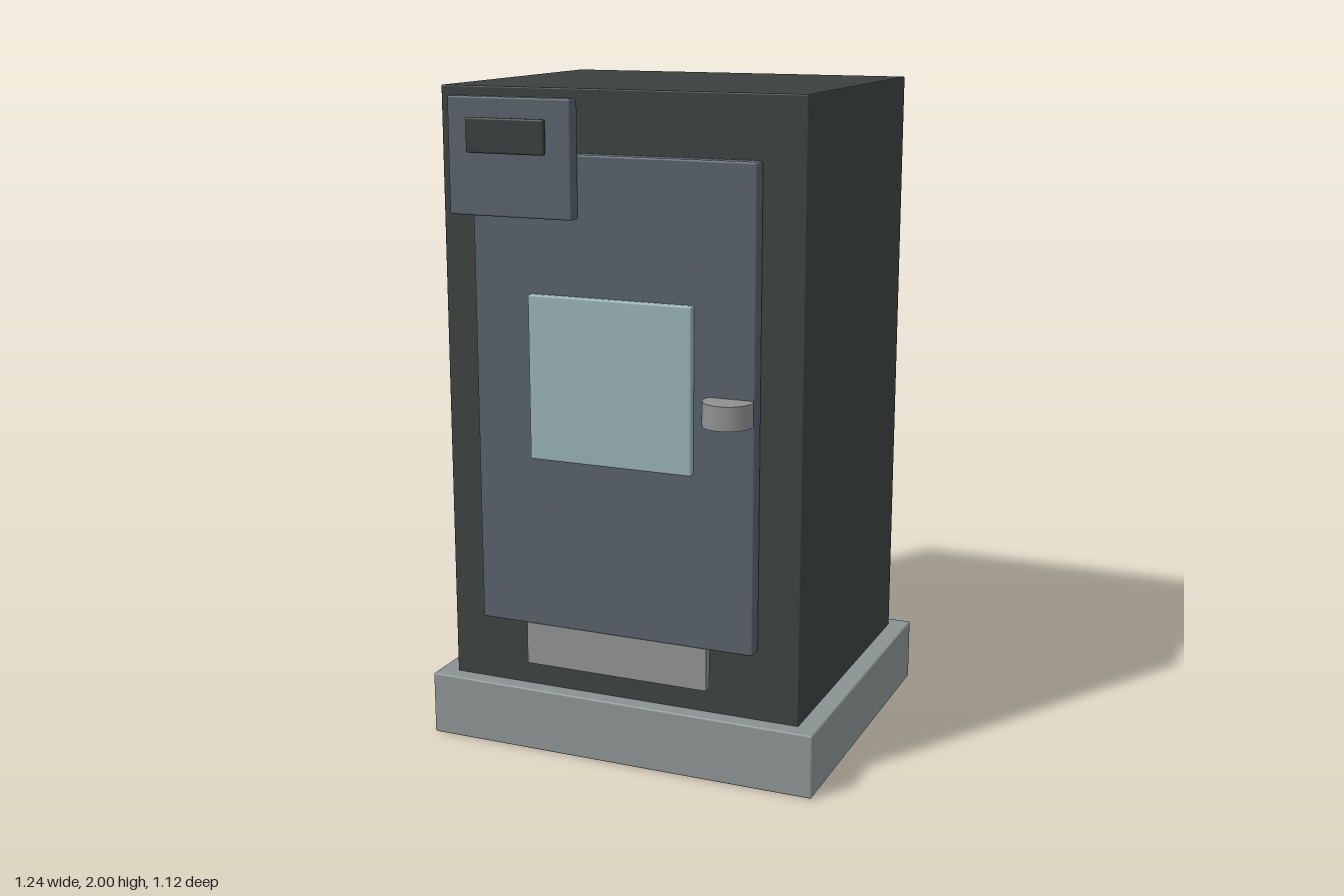
import * as THREE from 'three';
import { RoundedBoxGeometry } from 'three/addons/geometries/RoundedBoxGeometry.js';

const paint = (name, color) => {
  const m = new THREE.MeshStandardMaterial({ color });
  m.name = name;
  return m;
};

export function createModel() {
  const model = new THREE.Group();
  model.name = 'cabinet';

  const charcoal = paint('charcoal', 0x3b4140);
  const stone = paint('stone grey', 0x8a9191);
  const slate = paint('slate blue', 0x565f68);
  const glass = paint('pale glass', 0x94aeb1);
  const metal = paint('brushed metal', 0x8d908f);
  const black = paint('display black', 0x383c3b);

  // Box with softened edges, given by its extents on each axis
  const block = (name, material, [x0, x1], [y0, y1], [z0, z1], radius = 0.006) => {
    const geometry = new RoundedBoxGeometry(x1 - x0, y1 - y0, z1 - z0, 2, radius);
    const mesh = new THREE.Mesh(geometry, material);
    mesh.name = name;
    mesh.position.set((x0 + x1) / 2, (y0 + y1) / 2, (z0 + z1) / 2);
    model.add(mesh);
  };

  // Plinth and tall body; the body reaches down through the plinth
  block('plinth', stone, [-0.62, 0.62], [0.002, 0.197], [-0.56, 0.463]);
  block('body', charcoal, [-0.56, 0.56], [0, 2], [-0.513, 0.413], 0.004);

  // Door with its window, and the plate below it
  block('door', slate, [-0.437, 0.435], [0.41, 1.82], [0.413, 0.463]);
  block('window', glass, [-0.255, 0.253], [0.93, 1.418], [0.46, 0.485]);
  block('lowerPlate', metal, [-0.293, 0.29], [0.278, 0.43], [0.428, 0.457], 0.003);

  // Control panel and display in the upper corner
  block('controlPanel', slate, [-0.487, -0.1], [1.64, 1.977], [0.463, 0.51]);
  block('display', black, [-0.418, -0.172], [1.82, 1.92], [0.516, 0.533]);

  // Round door knob, standing upright and half sunk in the door
  const knob = new THREE.Mesh(new THREE.CylinderGeometry(0.072, 0.072, 0.07, 32), metal);
  knob.name = 'doorKnob';
  knob.position.set(0.364, 1.126, 0.487);
  model.add(knob);

  return model;
}
